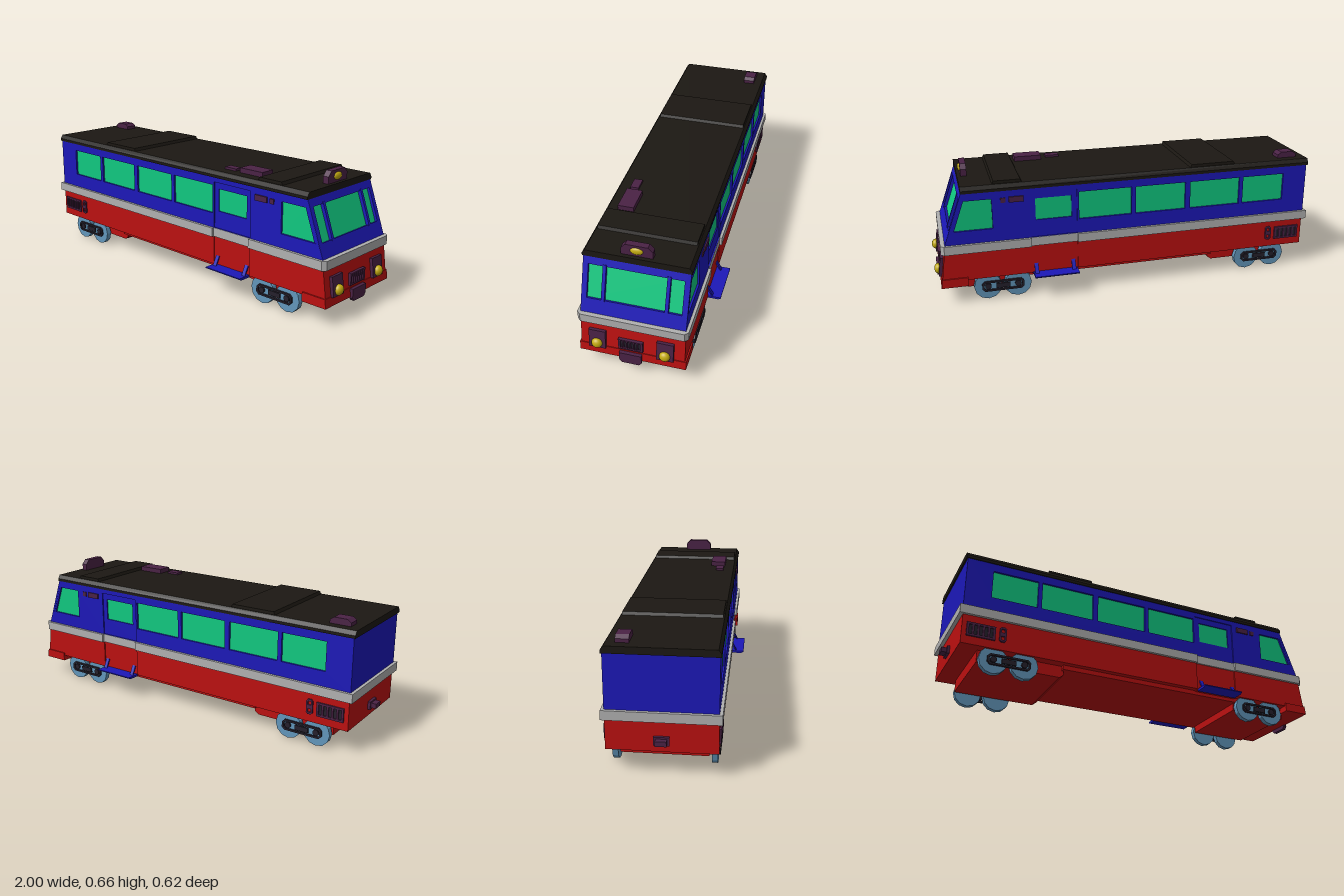
import * as THREE from 'three';

const mat = (color) => new THREE.MeshStandardMaterial({ color, flatShading: true });
const red = mat(0xbb1010), blue = mat(0x1c18b8), white = mat(0xb0b0b0), black = mat(0x1c1813);
const glass = mat(0x10c880), purple = mat(0x4a2245), dark = mat(0x25202c), steel = mat(0x6296bb);
const yellow = new THREE.MeshStandardMaterial({ color: 0xc4ac10 });

const poly = (pts, Kind = THREE.Shape) => new Kind(pts.map(([x, y]) => new THREE.Vector2(x, y)));
const rect = (x0, x1, y0, y1) => [[x0, y0], [x1, y0], [x1, y1], [x0, y1]];

export function createModel() {
  const model = new THREE.Group();

  const add = (name, geometry, material, parent = model) => {
    const mesh = new THREE.Mesh(geometry, material);
    mesh.name = name;
    parent.add(mesh);
    return mesh;
  };
  // Box given by its limits on each axis
  const box = (name, m, x0, x1, y0, y1, z0, z1, parent = model) => {
    const mesh = add(name, new THREE.BoxGeometry(x1 - x0, y1 - y0, z1 - z0), m, parent);
    mesh.position.set((x0 + x1) / 2, (y0 + y1) / 2, (z0 + z1) / 2);
    return mesh;
  };
  // Outline in x and y, extruded from z0 to z1
  const slab = (name, m, pts, z0, z1, holes = [], parent = model) => {
    const shape = poly(pts);
    shape.holes = holes.map((h) => poly(h, THREE.Path));
    const mesh = add(name, new THREE.ExtrudeGeometry(shape, { depth: z1 - z0, bevelEnabled: false }), m, parent);
    mesh.position.z = z0;
    return mesh;
  };
  // Outline in z and y, extruded along x from x0 to x1
  const crossSlab = (name, m, pts, x0, x1, holes) => {
    const mesh = slab(name, m, pts.map(([z, y]) => [-z, y]), 0, x1 - x0, holes);
    mesh.rotation.y = Math.PI / 2;
    mesh.position.set(x0, 0, 0);
    return mesh;
  };
  // Same slab on both flanks, between half-widths a and b
  const bothSides = (name, m, pts, a, b, holes) => {
    slab(name + 'Left', m, pts, a, b, holes);
    slab(name + 'Right', m, pts, -b, -a, holes);
  };

  // Lower body, with the door section set in slightly
  const W = 0.248;
  box('lowerBodyRear', red, -0.962, 0.285, 0.12, 0.27, -W, W);
  box('lowerBodyDoors', red, 0.285, 0.52, 0.115, 0.27, -0.242, 0.242);
  slab('lowerBodyFront', red, [[0.52, 0.12], [0.966, 0.12], [0.945, 0.27], [0.52, 0.27]], -W, W);
  slab('frontValance', red, [[0.84, 0.09], [0.972, 0.09], [0.967, 0.135], [0.84, 0.135]], -0.255, 0.255);
  box('underframe', red, -0.45, 0.56, 0.097, 0.125, -0.22, 0.22);
  slab('rearBogieBlock', red, [[-0.87, 0.06], [-0.46, 0.06], [-0.44, 0.075], [-0.44, 0.125], [-0.87, 0.125]], -0.2, 0.2);
  slab('frontBogieBlock', red, [[0.53, 0.06], [0.845, 0.06], [0.845, 0.125], [0.53, 0.125]], -0.2, 0.2);

  // Pale waist stripe, bevelled at the front corners
  const stripe = (name, pts) => {
    const mesh = slab(name, white, pts, 0, 0.045);
    mesh.rotation.x = -Math.PI / 2;
    mesh.position.y = 0.266;
  };
  stripe('stripeRear', rect(-0.98, 0.285, -0.262, 0.262));
  stripe('stripeDoors', rect(0.285, 0.52, -0.25, 0.25));
  stripe('stripeFront', [[0.52, -0.262], [0.945, -0.262], [0.962, -0.245], [0.962, 0.245], [0.945, 0.262], [0.52, 0.262]]);

  // Upper side walls with window and door openings
  const windows = [[-0.835, -0.605], [-0.584, -0.312], [-0.285, -0.019], [0.003, 0.275]]
    .map(([a, b]) => rect(a, b, 0.385, 0.528));
  const cabWindow = [[0.705, 0.378], [0.903, 0.378], [0.85, 0.53], [0.705, 0.53]];
  const doorway = rect(0.285, 0.52, 0.312, 0.544);
  const doorPane = rect(0.312, 0.493, 0.4, 0.512);
  bothSides('upperSide', blue, [[-0.965, 0.305], [0.942, 0.305], [0.845, 0.575], [-0.965, 0.575]], 0.225, W,
    [...windows, cabWindow, doorway]);
  bothSides('sideGlass', glass, rect(-0.85, 0.284, 0.37, 0.54), 0.225, 0.238);
  bothSides('cabSideGlass', glass, [[0.69, 0.36], [0.906, 0.36], [0.847, 0.54], [0.69, 0.54]], 0.225, 0.238);
  bothSides('door', blue, doorway, 0.225, 0.242, [doorPane]);
  bothSides('doorGlass', glass, doorPane, 0.225, 0.236);
  box('rearWall', blue, -0.965, -0.945, 0.3, 0.575, -0.225, 0.225);

  // Raked cab front with windscreen and two posts
  const front = new THREE.Group();
  front.name = 'cabFront';
  front.position.set(0.942, 0.305, 0);
  front.rotation.set(-0.345, Math.PI / 2, 0, 'YXZ');
  model.add(front);
  slab('windscreenFrame', blue, rect(-0.247, 0.247, 0, 0.287), -0.022, 0.001,
    [rect(-0.222, 0.222, 0.077, 0.242)], front);
  slab('windscreen', glass, rect(-0.225, 0.225, 0.07, 0.25), -0.02, -0.012, [], front);
  for (const u of [-0.145, 0.152]) {
    box('windscreenPost', blue, u - 0.008, u + 0.008, 0.07, 0.25, -0.015, 0.004, front);
  }

  // Roof with bevelled edges and two raised panels
  crossSlab('roof', black, [[-0.253, 0.568], [0.253, 0.568], [0.253, 0.582], [0.24, 0.601], [-0.24, 0.601], [-0.253, 0.582]], -0.972, 0.85);
  for (const [a, b] of [[-0.56, -0.31], [0.55, 0.7]]) {
    slab('roofPanel', black, [[a, 0.595], [b, 0.595], [b - 0.01, 0.616], [a + 0.01, 0.616]], -0.235, 0.235);
  }
  slab('rearRoofUnit', purple, [[-0.925, 0.6], [-0.82, 0.6], [-0.82, 0.618], [-0.84, 0.632], [-0.905, 0.632], [-0.925, 0.618]], -0.198, -0.138);
  box('frontRoofUnit', purple, 0.4, 0.54, 0.6, 0.625, 0.112, 0.19);
  box('smallRoofUnit', purple, 0.3, 0.37, 0.6, 0.612, 0.143, 0.185);

  // Roof lamp
  const ball = (name, x, y, z, sx, sy, sz) => {
    const mesh = add(name, new THREE.SphereGeometry(1, 20, 14), yellow);
    mesh.scale.set(sx, sy, sz);
    mesh.position.set(x, y, z);
  };
  crossSlab('roofLampHousing', purple, [[-0.072, 0.598], [0.076, 0.598], [0.076, 0.635], [0.054, 0.659], [-0.05, 0.659], [-0.072, 0.635]], 0.802, 0.832);
  ball('roofLamp', 0.83, 0.629, 0.003, 0.012, 0.019, 0.031);

  // Headlights, nose grille and front coupler plate
  for (const z of [0.166, -0.157]) {
    const panel = box('headlightPanel', purple, 0.955, 0.973, 0.13, 0.227, z - 0.04, z + 0.04);
    panel.rotation.z = 0.13;
    ball('headlight', 0.978, 0.16, z, 0.02, 0.026, 0.026);
  }
  const slots = [0, 1, 2, 3, 4, 5].map((i) => rect(-0.055 + i * 0.0167, -0.044 + i * 0.0167, 0.152, 0.198));
  const grille = crossSlab('noseGrille', purple, rect(-0.052, 0.065, 0.145, 0.205), 0.958, 0.972, slots);
  grille.position.x = 0.958;
  box('noseGrilleBack', dark, 0.95, 0.964, 0.15, 0.2, -0.048, 0.06);
  crossSlab('frontCoupler', purple, [[-0.047, 0.085], [-0.035, 0.07], [0.048, 0.07], [0.06, 0.085], [0.06, 0.13], [-0.047, 0.13]], 0.965, 0.984);

  // Rear coupler
  box('rearCouplerPlate', purple, -0.975, -0.96, 0.155, 0.195, -0.035, 0.035);
  box('rearCoupler', purple, -1, -0.97, 0.163, 0.187, -0.025, 0.025);

  // Side vents and small cab fittings
  const slats = [0, 1, 2, 3, 4].map((i) => rect(-0.929 + i * 0.025, -0.914 + i * 0.025, 0.17, 0.219));
  bothSides('rearVent', purple, rect(-0.94, -0.803, 0.16, 0.229), 0.246, 0.256, slats);
  bothSides('rearVentBack', dark, rect(-0.935, -0.808, 0.165, 0.224), 0.246, 0.25);
  bothSides('smallVent', purple, [[-0.783, 0.168], [-0.775, 0.16], [-0.758, 0.16], [-0.75, 0.168], [-0.75, 0.227], [-0.758, 0.235], [-0.775, 0.235], [-0.783, 0.227]],
    0.246, 0.256, [rect(-0.775, -0.758, 0.17, 0.188), rect(-0.775, -0.758, 0.207, 0.225)]);
  bothSides('cabSideVent', purple, rect(0.55, 0.622, 0.507, 0.535), 0.246, 0.255);
  bothSides('cabSideMarker', purple, rect(0.638, 0.662, 0.508, 0.532), 0.246, 0.253);

  for (const s of [1, -1]) {
    // Door step with struts
    const step = [[0.24, 0.11], [0.3, 0.11], [0.312, 0.117], [0.312, 0.122], [0.24, 0.122]];
    const strut = [[0.24, 0.165], [0.265, 0.12], [0.271, 0.12], [0.246, 0.17]];
    const flip = (pts) => pts.map(([z, y]) => [s * z, y]);
    crossSlab('doorStep', blue, flip(step), 0.29, 0.515);
    for (const x of [0.3, 0.49]) crossSlab('stepStrut', blue, flip(strut), x, x + 0.02);

    // Paired wheels joined by a looped side frame
    for (const cx of [-0.725, 0.67]) {
      const bogie = new THREE.Group();
      bogie.name = 'bogie';
      bogie.position.set(cx, 0.069, 0);
      model.add(bogie);
      for (const dx of [-0.075, 0.075]) {
        const wheel = add('wheel', new THREE.CylinderGeometry(0.069, 0.069, 0.027, 12), steel, bogie);
        wheel.rotation.x = Math.PI / 2;
        wheel.position.set(dx, 0, s * 0.2235);
        const hub = add('wheelHub', new THREE.CylinderGeometry(0.016, 0.016, 0.016, 10), dark, bogie);
        hub.rotation.x = Math.PI / 2;
        hub.position.set(dx, 0, s * 0.238);
      }
      const loop = (rx, r) => [[-rx, -r / 2], [-rx + r / 2, -r], [rx - r / 2, -r], [rx, -r / 2],
        [rx, r / 2], [rx - r / 2, r], [-rx + r / 2, r], [-rx, r / 2]];
      const z = s > 0 ? 0.235 : -0.247;
      slab('sideFrame', dark, loop(0.105, 0.027), z, z + 0.012, [loop(0.095, 0.018)], bogie);
      box('sideFrameBar', dark, -0.035, 0.035, -0.012, 0.012, z, z + 0.009, bogie);
    }
  }
  return model;
}
